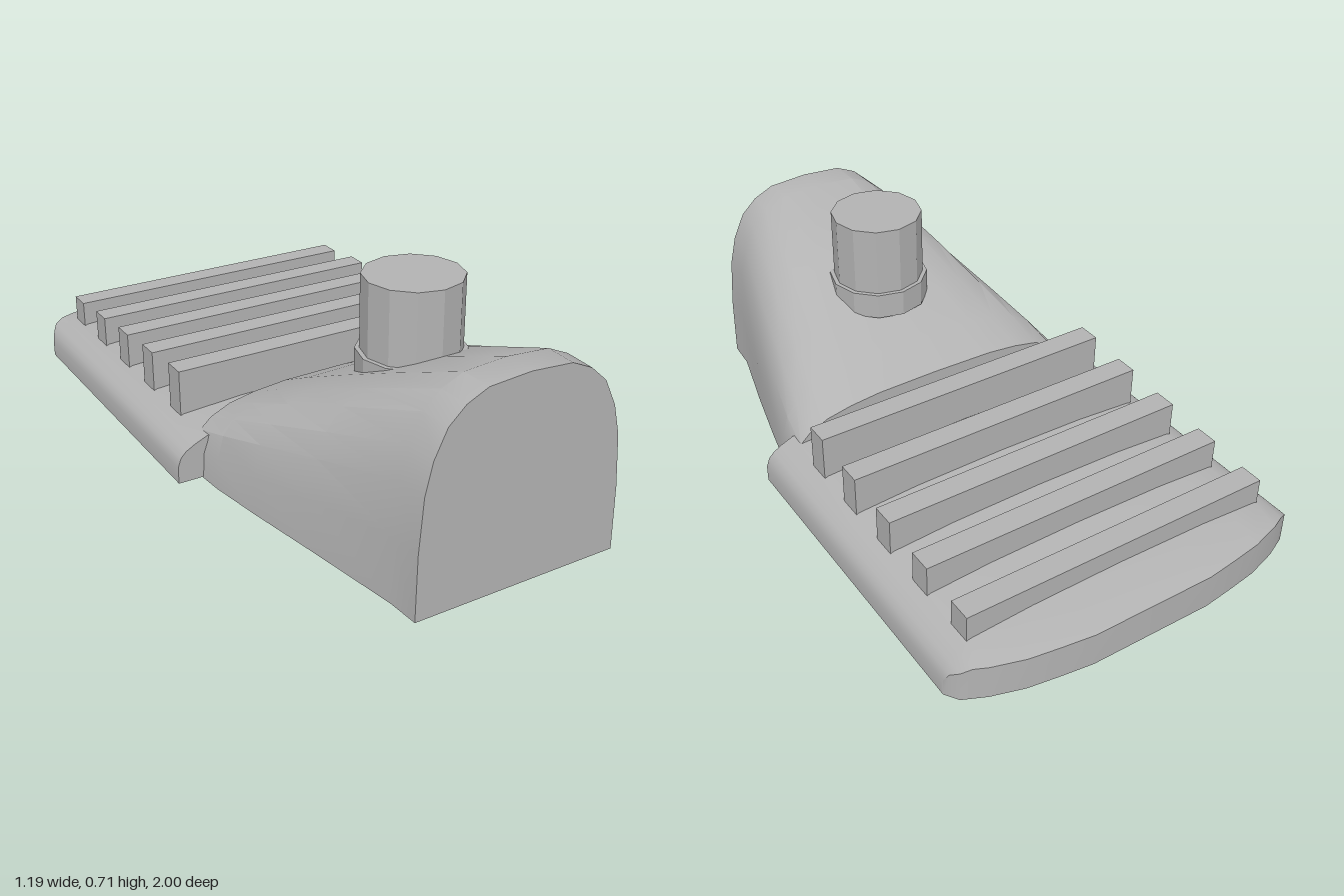
import * as THREE from 'three';
import { toCreasedNormals } from 'three/addons/utils/BufferGeometryUtils.js';

const grey = new THREE.MeshStandardMaterial({ color: 0xb3b3b3 });
grey.name = 'grey';

// Linear lookup in a list of [key, value] pairs with rising keys
function lookup(table, k) {
  for (let i = 1; i < table.length; i++) {
    const [k0, v0] = table[i - 1], [k1, v1] = table[i];
    if (k <= k1) return THREE.MathUtils.lerp(v0, v1, Math.max(0, (k - k0) / (k1 - k0)));
  }
  return table[table.length - 1][1];
}

// Arched body lofted through sections: [z, half width, bottom, top]
function archGeometry() {
  const half = [[1, 0], [0.985, 0.32], [0.94, 0.58], [0.875, 0.73], [0.75, 0.86], [0.6, 0.937], [0.4, 0.985]];
  const ring = [...half, [0, 1], ...half.slice().reverse().map(([x, y]) => [-x, y])];
  // the arch narrows its sides at the front and becomes boxier at the back
  const sections = [
    [1, 0.33, 0, 0.63], [0.9, 0.337, 0, 0.63], [0.62, 0.415, 0.03, 0.515],
    [0.4, 0.47, 0.045, 0.42], [0.24, 0.508, 0.058, 0.348], [0.12, 0.525, 0.067, 0.29],
  ];
  const order = [[1, 0], [0.99, 0.32], [0.95, 0.58], [0.88, 0.73], [0.76, 0.86], [0.6, 0.937], [0.4, 0.985], [0, 1]];
  const n = ring.length, pos = [], idx = [];
  for (const [z, w, y0, y1] of sections) {
    ring.forEach((p, i) => {
      const q = order[Math.min(i, n - 1 - i)];
      pos.push(Math.sign(p[0]) * q[0] * w, y0 + q[1] * (y1 - y0), z);
    });
  }
  for (let s = 0; s < sections.length - 1; s++) {
    for (let i = 0; i < n; i++) {
      const a = s * n + i, b = s * n + (i + 1) % n;
      idx.push(a, a + n, b, b, a + n, b + n);
    }
  }
  const last = (sections.length - 1) * n;
  for (let i = 1; i < n - 1; i++) {
    idx.push(0, i, i + 1);
    idx.push(last, last + i + 1, last + i);
  }
  const g = new THREE.BufferGeometry();
  g.setAttribute('position', new THREE.Float32BufferAttribute(pos, 3));
  g.setIndex(idx);
  return toCreasedNormals(g, 0.45);
}

// Toe plate: a box bent to a rounded toe outline with soft upper edges
function toePlateGeometry() {
  const xs = [0, 0.2, 0.3, 0.4, 0.5, 0.54, 0.57, 0.587, 0.597];
  const crown = [[0, 0.218], [0.3, 0.213], [0.5, 0.2], [0.54, 0.183], [0.57, 0.166], [0.587, 0.148], [0.597, 0.12]];
  const toeEnd = [[0, -1], [0.2, -1], [0.3, -0.987], [0.4, -0.972], [0.5, -0.942], [0.57, -0.91], [0.597, -0.87]];
  const n = xs.length - 1;
  const g = new THREE.BoxGeometry(2, 1, 1, n * 2, 1, 2);
  const p = g.attributes.position;
  for (let i = 0; i < p.count; i++) {
    const side = Math.sign(p.getX(i));
    const x = xs[Math.round(Math.abs(p.getX(i)) * n)];
    const row = Math.round(p.getZ(i) * 2);      // 1 heel side, 0 bend, -1 toe
    const z = row === 1 ? 0.17 : row === 0 ? -0.855 : lookup(toeEnd, x);
    let y = 0.067;
    if (p.getY(i) > 0) {
      y = lookup(crown, x);
      if (row === -1) y = Math.min(y, 0.178);
    }
    p.setXYZ(i, side * x, y, z);
  }
  return toCreasedNormals(g, 0.6);
}

export function createModel() {
  const model = new THREE.Group();
  model.name = 'foot';
  const add = (name, geometry, x = 0, y = 0, z = 0) => {
    const mesh = new THREE.Mesh(geometry, grey);
    mesh.name = name;
    mesh.position.set(x, y, z);
    model.add(mesh);
  };

  add('archedBody', archGeometry());
  add('toePlate', toePlateGeometry());
  add('solePad', new THREE.BoxGeometry(1.07, 0.04, 0.99), 0, 0.073, -0.405);

  // Cross ribs, lower towards the toe
  for (let i = 0; i < 5; i++) {
    const top = 0.342 - i * 0.0155, bottom = 0.195;
    add('rib', new THREE.BoxGeometry(1.02, top - bottom, 0.075), 0, (top + bottom) / 2, -0.027 - i * 0.196);
  }

  // Upright peg and its collar
  const cylinder = (r, h) => toCreasedNormals(new THREE.CylinderGeometry(r, r, h, 12), 0.3);
  add('peg', cylinder(0.148, 0.315), 0, 0.5575, 0.48);
  add('pegCollar', cylinder(0.162, 0.085), 0, 0.4475, 0.48);
  return model;
}
